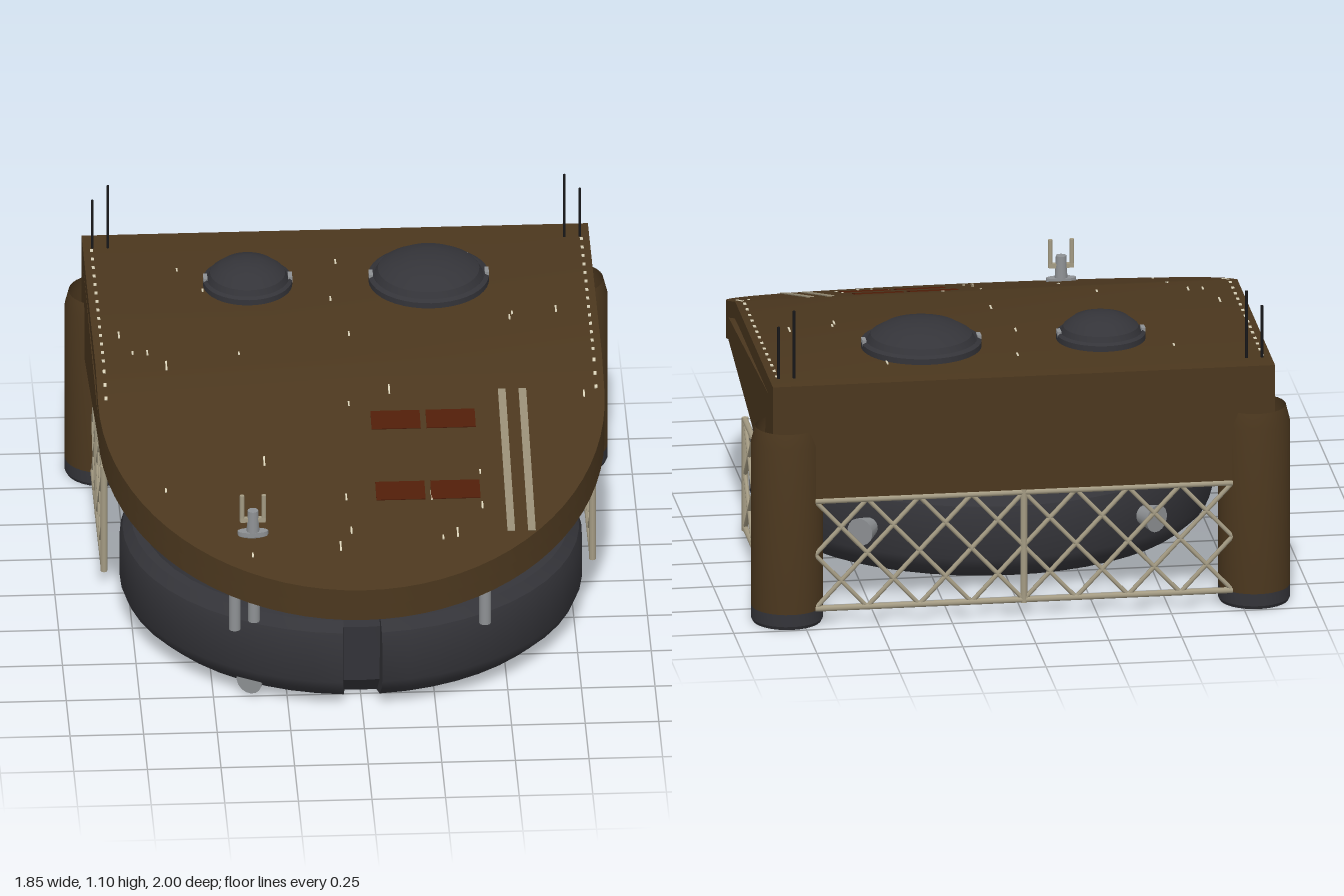
import * as THREE from 'three';
import { mergeGeometries, toCreasedNormals } from 'three/addons/utils/BufferGeometryUtils.js';

const mat = (name, color, side = THREE.FrontSide) => {
  const m = new THREE.MeshStandardMaterial({ color, side });
  m.name = name;
  return m;
};
const V = (x, y, z) => new THREE.Vector3(x, y, z);

// roof height: flat at the back, sloping down to the front
const SLOPE = 0.3125, BREAK = -0.04;
const roofY = z => 0.86 - Math.max(0, z - BREAK) * SLOPE;

// skin over four-cornered sections, each counter-clockwise about the direction of travel
function loft(rings, closed = false) {
  const pos = [];
  const quad = (a, b, c, d) => [a, b, c, a, c, d].forEach(p => pos.push(...p));
  const count = closed ? rings.length : rings.length - 1;
  for (let i = 0; i < count; i++) {
    const r = rings[i], s = rings[(i + 1) % rings.length];
    for (let k = 0; k < 4; k++) {
      const n = (k + 1) % 4;
      quad(r[k], r[n], s[n], s[k]);
    }
  }
  if (!closed) quad(...[...rings[0]].reverse());
  const g = new THREE.BufferGeometry();
  g.setAttribute('position', new THREE.Float32BufferAttribute(pos, 3));
  return toCreasedNormals(g, 0.4);
}

// round bar between two points
function rod(a, b, r, sides = 8) {
  const d = b.clone().sub(a);
  const g = new THREE.CylinderGeometry(r, r, d.length(), sides);
  g.applyQuaternion(new THREE.Quaternion().setFromUnitVectors(V(0, 1, 0), d.normalize()));
  return g.translate((a.x + b.x) / 2, (a.y + b.y) / 2, (a.z + b.z) / 2);
}

const lathe = (pts, seg = 48, start = 0, len = Math.PI * 2) =>
  toCreasedNormals(new THREE.LatheGeometry(pts.map(p => new THREE.Vector2(...p)), seg, start, len), 0.45);

// thin plate lying on the roof
function plate(x, z, w, d) {
  const g = new THREE.BoxGeometry(w, 0.004, d);
  if (z > BREAK) g.rotateX(Math.atan(SLOPE));
  return g.translate(x, roofY(z) + 0.001, z);
}

// braced panel from p to q with crossed and diamond bracing in each bay
function lattice(p, q, bays, posts) {
  const y0 = 0.06, y1 = 0.445, ym = (y0 + y1) / 2, out = [];
  const at = (t, y) => { const v = p.clone().lerp(q, t); v.y = y; return v; };
  out.push(rod(at(0, y0), at(1, y0), 0.011), rod(at(0, y1), at(1, y1), 0.011));
  posts.forEach(t => out.push(rod(at(t, y0 - 0.01), at(t, y1 + 0.01), 0.012)));
  for (let i = 0; i < bays; i++) {
    const a = i / bays, b = (i + 1) / bays, m = (a + b) / 2;
    out.push(rod(at(a, y0), at(b, y1), 0.008, 6), rod(at(a, y1), at(b, y0), 0.008, 6));
    out.push(rod(at(a, ym), at(m, y1), 0.008, 6), rod(at(m, y1), at(b, ym), 0.008, 6));
    out.push(rod(at(b, ym), at(m, y0), 0.008, 6), rod(at(m, y0), at(a, ym), 0.008, 6));
  }
  return mergeGeometries(out);
}

export function createModel() {
  const model = new THREE.Group();
  const brown = mat('brown hull', 0x4b371e, THREE.DoubleSide);
  const dark = mat('dark grey', 0x343439, THREE.DoubleSide);
  const metal = mat('light metal', 0x8e9194);
  const tan = mat('tan frame', 0xa59c84);
  const cream = mat('cream flecks', 0xd6cfb6);
  const red = mat('dark red', 0x4f1d08);
  const stripe = mat('stripe grey', 0x968c74);
  const black = mat('black', 0x18181a);
  const add = (name, geo, m, x = 0, y = 0, z = 0, parent = model) => {
    const mesh = new THREE.Mesh(geo, m);
    mesh.name = name;
    mesh.position.set(x, y, z);
    parent.add(mesh);
    return mesh;
  };

  // roof slab
  const plan = [[-0.96, 0.86], [BREAK, 0.86]];
  for (let i = 0; i <= 20; i++) {
    const a = i / 20 * Math.PI / 2;
    plan.push([0.13 + 0.87 * Math.sin(a), 0.86 * Math.cos(a)]);
  }
  add('roof', loft(plan.map(([z, w]) => {
    const t = roofY(z), b = t - 0.06;
    return [[-w, b, z], [w, b, z], [w, t, z], [-w, t, z]];
  })), brown);

  // thin skirt wall hanging below the roof all round, deepest at the back
  const outline = [...plan.map(([z, w]) => [w, z]), ...plan.slice(0, -1).reverse().map(([z, w]) => [-w, z])];
  add('skirt', loft(outline.map(([x, z]) => {
    const front = z > 0.129;
    const top = front ? roofY(z) - 0.058 : 0.749 + (0.13 - z) * 0.052;
    const bottom = front ? 0.67 - (z - 0.13) * 0.287 : 0.67 - (0.13 - z) * 0.2;
    const xi = x * 0.978, zi = z * 0.98;
    return [[xi, bottom, zi], [x, bottom, z], [x, top, z], [xi, top, zi]];
  }), true), brown);

  // hollow round core; its dome is trimmed to stay below the roof
  const CZ = 0.1;
  const core = lathe([[0, 0.5], [0.5, 0.47], [0.55, 0.3], [0.55, 0.2], [0.59, 0.2], [0.59, 0.015],
    [0.66, 0.02], [0.72, 0.09], [0.73, 0.3], [0.71, 0.345], [0.665, 0.5], [0.6, 0.61], [0.5, 0.69], [0, 0.7]]);
  const cp = core.attributes.position;
  for (let i = 0; i < cp.count; i++)
    cp.setY(i, Math.min(cp.getY(i), roofY(cp.getZ(i) + CZ) - 0.05));
  add('core', core, dark, 0, 0, CZ);
  add('slotBlock', new THREE.BoxGeometry(0.13, 0.1, 0.14), dark, 0, 0.08, 0.64);

  // rounded outer ring with a slot at the front
  const gap = 0.085;
  const ringProfile = [[0.59, 0.01], [0.65, 0.012], [0.72, 0.035], [0.77, 0.08], [0.785, 0.115],
    [0.785, 0.265], [0.775, 0.3], [0.745, 0.333], [0.69, 0.342]];
  add('outerRing', lathe(ringProfile, 48, gap, Math.PI * 2 - gap * 2), dark, 0, 0, CZ);
  for (const s of [-1, 1]) {
    const end = new THREE.ShapeGeometry(new THREE.Shape(ringProfile.map(p => new THREE.Vector2(...p))));
    add('ringEnd', end, dark, 0, 0, CZ).rotation.y = s * gap - Math.PI / 2;
  }

  // open corner columns with dark boots
  for (const s of [-1, 1]) {
    add('column', lathe([[0.122, 0.055], [0.122, 0.64], [0.108, 0.695]], 32), brown, s * 0.8, 0, -0.875);
    add('columnLining', lathe([[0.116, 0.2], [0.116, 0.004]], 32), brown, s * 0.8, 0, -0.875);
    add('columnBoot', lathe([[0.117, 0], [0.123, 0.012], [0.123, 0.055]], 32), dark, s * 0.8, 0, -0.875);
    // side bracing
    add('sideLattice', lattice(V(s * 0.83, 0, -0.07), V(s * 0.83, 0, -0.47), 1, [0, 1]), tan);
    add('sideLattice', lattice(V(s * 0.83, 0, -0.47), V(s * 0.83, 0, -0.76), 1, []), tan);
    // paired antennas
    add('antennaTall', rod(V(s * 0.775, 0.85, -0.87), V(s * 0.775, 1.1, -0.87), 0.005, 6), black);
    add('antennaShort', rod(V(s * 0.828, 0.85, -0.87), V(s * 0.828, 1.045, -0.87), 0.005, 6), black);
  }
  add('backLattice', lattice(V(-0.715, 0, -0.955), V(0.715, 0, -0.955), 4, [0.5]), tan);

  // roof domes with side clips
  for (const [x, r] of [[-0.315, 0.152], [0.3, 0.205]]) {
    const dome = new THREE.Group();
    dome.name = 'roofDome';
    dome.position.set(x, 0.855, -0.59);
    model.add(dome);
    add('domeRim', lathe([[r, 0], [r, 0.025], [r * 0.93, 0.033], [r * 0.9, 0.025]], 40), dark, 0, 0, 0, dome);
    add('domeCap', lathe([[r * 0.92, 0.02], [r * 0.84, 0.05], [r * 0.62, 0.077], [r * 0.32, 0.092], [0, 0.096]], 40),
      dark, 0, 0, 0, dome);
    for (const s of [-1, 1])
      add('domeClip', new THREE.BoxGeometry(0.014, 0.022, 0.038), metal, s * (r - 0.008), 0.028, 0, dome);
  }

  // small twin mast on the front slope
  const mast = new THREE.Group();
  mast.name = 'frontMast';
  mast.position.set(-0.365, 0, 0.735);
  model.add(mast);
  add('mastBase', lathe([[0.03, 0.595], [0.052, 0.615], [0.052, 0.632], [0, 0.632]], 16), metal, 0, 0, 0, mast)
    .scale.z = 0.4;
  add('mastPost', new THREE.CylinderGeometry(0.018, 0.022, 0.08, 12), metal, 0, 0.67, 0, mast);
  add('mastArm', new THREE.BoxGeometry(0.085, 0.016, 0.016), tan, 0, 0.675, 0, mast);
  for (const s of [-1, 1])
    add('mastProng', new THREE.CylinderGeometry(0.008, 0.008, 0.1, 8), tan, s * 0.037, 0.718, 0, mast);

  // hanging struts under the front rim
  for (const [x, y, z] of [[-0.43, 0.29, 0.8], [-0.365, 0.32, 0.8], [0.42, 0.29, 0.8]])
    add('strut', rod(V(x, y, z), V(x, 0.55, z), 0.02, 16), metal);

  // nozzles through the ring: angle, height, radius of the flared mouth
  for (const [a, y, r] of [[-0.53, 0.058, 0.74], [2.5, 0.2, 0.84], [-2.5, 0.2, 0.84]]) {
    const dir = V(Math.sin(a), 0, Math.cos(a));
    const g = new THREE.CylinderGeometry(0.048, 0.025, 0.1, 16);
    g.applyQuaternion(new THREE.Quaternion().setFromUnitVectors(V(0, 1, 0), dir));
    add('nozzle', g, metal, dir.x * (r - 0.04), y, CZ + dir.z * (r - 0.04));
    add('nozzlePipe', rod(dir.clone().multiplyScalar(r - 0.25), dir.clone().multiplyScalar(r - 0.05), 0.025, 12), metal, 0, y, CZ);
  }

  // painted panels and stripes
  for (const z of [0.238, 0.557])
    for (const x of [0.145, 0.332]) add('redPanel', plate(x, z, 0.167, 0.085), red);
  for (const x of [0.512, 0.582]) add('roofStripe', plate(x, 0.43, 0.026, 0.67), stripe);

  // rivet rows along the roof edges
  const rivets = [];
  for (let i = 0; i < 17; i++)
    for (const s of [-1, 1]) rivets.push(plate(s * 0.832, -0.85 + i * 0.06, 0.01, 0.016));
  add('rivets', mergeGeometries(rivets), cream);

  // scattered scratches
  const spots = [[-0.55, -0.7], [-0.01, -0.73], [-0.77, -0.25], [-0.73, -0.12], [-0.68, -0.12], [-0.62, -0.03],
    [-0.37, -0.1], [0.01, -0.22], [0.44, -0.75], [0.57, -0.34], [0.56, -0.31], [0.72, -0.36], [-0.47, -0.55],
    [-0.04, -0.47], [0.13, 0.1], [-0.01, 0.16], [0.15, 0.25], [-0.31, 0.41], [-0.65, 0.53], [-0.04, 0.58],
    [0.25, 0.58], [0.42, 0.48], [0.42, 0.63], [0.33, 0.75], [0.28, 0.77], [-0.03, 0.73], [-0.07, 0.8], [-0.37, 0.83], [0.79, 0.14]];
  add('scratches', mergeGeometries(spots.map(([x, z], i) => plate(x, z, 0.006, 0.02 + (i % 3) * 0.012))), cream);

  return model;
}
